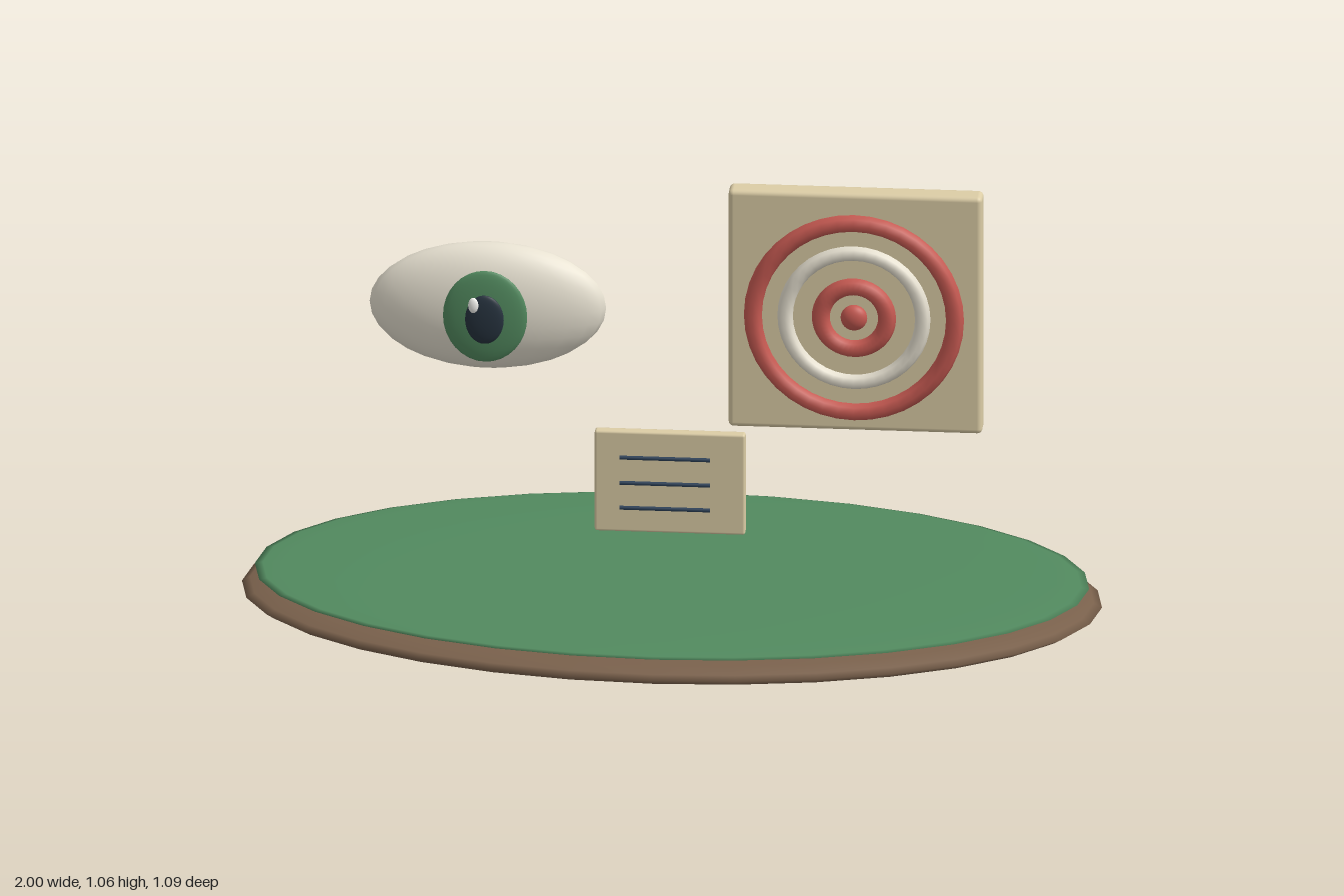
import * as THREE from 'three';
import { RoundedBoxGeometry } from 'three/addons/geometries/RoundedBoxGeometry.js';

const COLORS = {
  soil: 0x7a614c, green: 0x528a5f, ivory: 0xe8e2d2, tan: 0xdccda6,
  red: 0xc75a52, dark: 0x26323e, navy: 0x2b4058, white: 0xf4f4f0,
};
const materials = {};
for (const key in COLORS) materials[key] = new THREE.MeshStandardMaterial({ color: COLORS[key] });

function add(parent, name, geometry, color, x, y, z) {
  const mesh = new THREE.Mesh(geometry, materials[color]);
  mesh.name = name;
  mesh.position.set(x, y, z);
  parent.add(mesh);
  return mesh;
}

// Sphere stretched to three radii
function ellipsoid(rx, ry, rz, w = 24, h = 16) {
  return new THREE.SphereGeometry(1, w, h).scale(rx, ry, rz);
}

function group(parent, name) {
  const g = new THREE.Group();
  g.name = name;
  parent.add(g);
  return g;
}

export function createModel() {
  const model = new THREE.Group();
  model.name = 'floatingSymbols';

  // Oval island: soil below, thin grass lens on top
  const island = group(model, 'island');
  add(island, 'islandSoil', ellipsoid(1, 0.058, 0.545, 32, 16), 'soil', 0, 0.059, 0);
  add(island, 'islandGrass', ellipsoid(0.97, 0.018, 0.525, 32, 16), 'green', 0, 0.104, 0);

  // Floating eye
  const eye = group(model, 'eye');
  add(eye, 'eyeball', ellipsoid(0.275, 0.155, 0.075), 'ivory', -0.428, 0.767, 0);
  add(eye, 'iris', ellipsoid(0.098, 0.113, 0.017), 'green', -0.428, 0.768, 0.077);
  add(eye, 'pupil', ellipsoid(0.045, 0.06, 0.012), 'dark', -0.428, 0.767, 0.096);
  add(eye, 'eyeHighlight', ellipsoid(0.012, 0.019, 0.007, 16, 10), 'white', -0.453, 0.806, 0.107);

  // Target: square board with concentric rings and a bullseye
  const target = group(model, 'target');
  add(target, 'targetBoard', new RoundedBoxGeometry(0.59, 0.59, 0.056, 3, 0.012), 'tan', 0.424, 0.767, -0.048);
  const rings = [[0.235, 0.021, 'red'], [0.16, 0.018, 'ivory'], [0.077, 0.021, 'red']];
  for (const [radius, tube, color] of rings) {
    add(target, 'targetRing', new THREE.TorusGeometry(radius, tube, 8, 40), color, 0.424, 0.767, 0.011);
  }
  add(target, 'bullseye', ellipsoid(0.031, 0.031, 0.02), 'red', 0.424, 0.767, 0.011);

  // Note card with three written lines
  const card = group(model, 'card');
  add(card, 'cardPlate', new RoundedBoxGeometry(0.35, 0.25, 0.026, 2, 0.006), 'tan', -0.004, 0.341, 0.001);
  for (const y of [0.403, 0.34, 0.278]) {
    const bar = add(card, 'cardLine', new THREE.CylinderGeometry(0.005, 0.005, 0.21, 8), 'navy', -0.015, y, 0.019);
    bar.rotation.z = Math.PI / 2;
  }

  return model;
}
